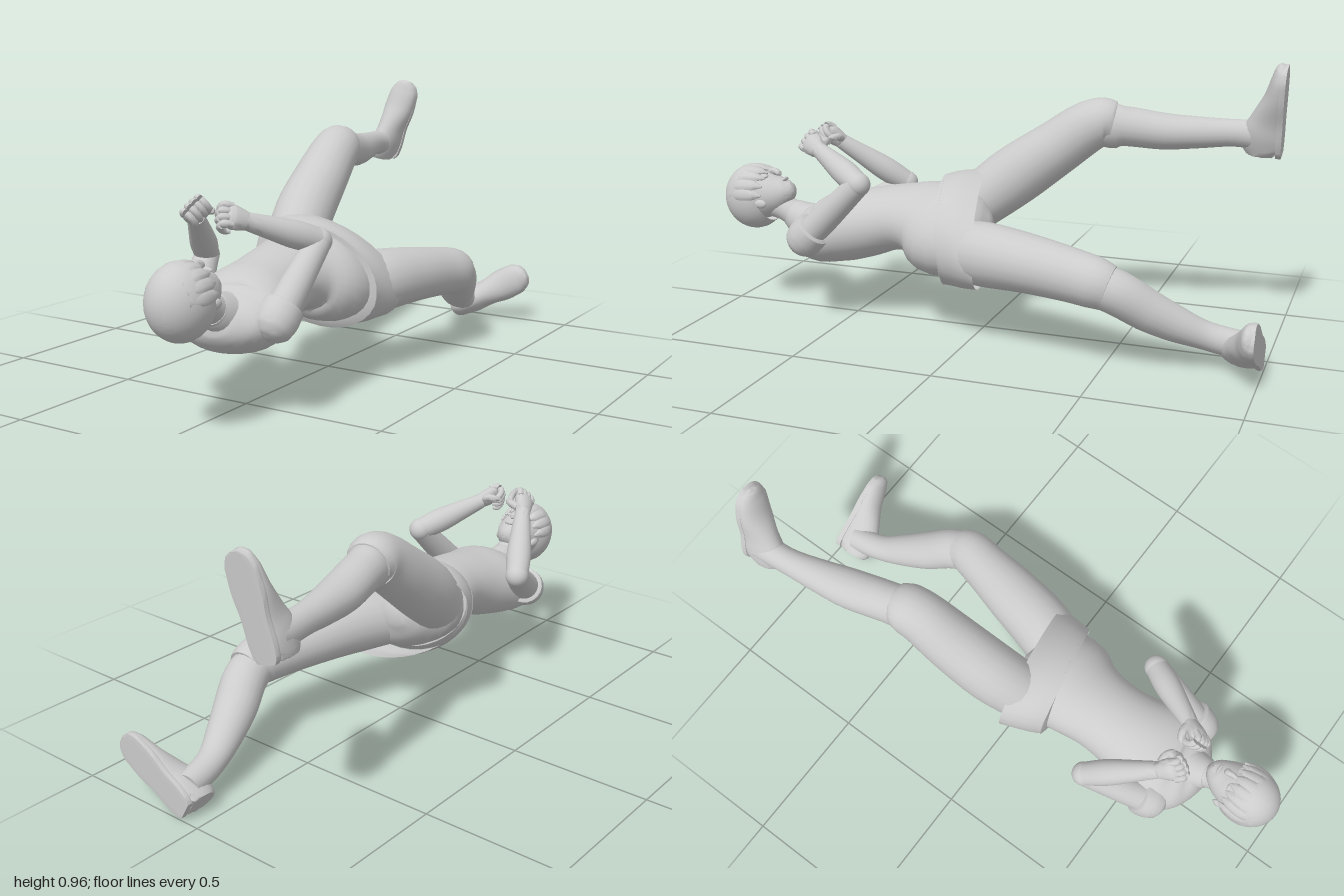
import * as THREE from 'three';
import { toCreasedNormals } from 'three/addons/utils/BufferGeometryUtils.js';

const grey = new THREE.MeshStandardMaterial({ color: 0xcccccc });
const thin = new THREE.MeshStandardMaterial({ color: 0xcccccc, side: THREE.DoubleSide });
const V = (x, y, z) => new THREE.Vector3(x, y, z);

// Smooth loft through sections [x, y, z, halfWidth, halfHeight, roll]
function loft(sections, { sides = 20, steps = 4, capped = true } = {}) {
  const path = new THREE.CatmullRomCurve3(sections.map(s => V(s[0], s[1], s[2])));
  const size = new THREE.CatmullRomCurve3(sections.map(s => V(s[3], s[4] ?? s[3], s[5] ?? 0)));
  const n = (sections.length - 1) * steps, pos = [], idx = [];
  for (let i = 0; i <= n; i++) {
    const p = path.getPoint(i / n), s = size.getPoint(i / n), t = path.getTangent(i / n);
    const r = V(0, 1, 0).cross(t).negate().normalize(), up = r.clone().cross(t);
    const a = r.clone().multiplyScalar(Math.cos(s.z)).addScaledVector(up, Math.sin(s.z));
    const b = up.clone().multiplyScalar(Math.cos(s.z)).addScaledVector(r, -Math.sin(s.z));
    for (let j = 0; j < sides; j++) {
      const w = j / sides * Math.PI * 2;
      const q = p.clone().addScaledVector(a, s.x * Math.cos(w)).addScaledVector(b, s.y * Math.sin(w));
      pos.push(q.x, q.y, q.z);
    }
  }
  const first = pos.length / 3;
  for (const e of [sections[0], sections.at(-1)]) pos.push(e[0], e[1], e[2]);
  for (let j = 0; j < sides; j++) {
    const k = (j + 1) % sides;
    for (let i = 0; i < n; i++) {
      const a = i * sides + j, b = i * sides + k;
      idx.push(a, a + sides, b, b, a + sides, b + sides);
    }
    if (capped) idx.push(first, j, k, first + 1, n * sides + k, n * sides + j);
  }
  const g = new THREE.BufferGeometry();
  g.setAttribute('position', new THREE.Float32BufferAttribute(pos, 3));
  g.setIndex(idx);
  return g;
}

function add(parent, name, geometry, material = grey) {
  const m = new THREE.Mesh(toCreasedNormals(geometry, 0.8), material);
  m.name = name;
  parent.add(m);
}

function ball(parent, name, [x, y, z], [a, b, c]) {
  const m = new THREE.Mesh(new THREE.SphereGeometry(1, 24, 16), grey);
  m.name = name;
  m.position.set(x, y, z);
  m.scale.set(a, b, c);
  parent.add(m);
}

// Group whose local z follows dir and whose local y leans towards up
function oriented(parent, name, origin, dir, up) {
  const z = V(...dir).normalize(), x = V(...up).cross(z).normalize(), y = z.clone().cross(x);
  const g = new THREE.Group();
  g.name = name;
  g.quaternion.setFromRotationMatrix(new THREE.Matrix4().makeBasis(x, y, z));
  g.position.set(...origin);
  parent.add(g);
  return g;
}

// Shoe: heel at z = 0, sole on y = 0
function addShoe(parent, name, heel, dir, len) {
  const g = oriented(parent, name, heel, dir, [0, 0, 1]);
  const shape = [[0, 0.034, 0.09], [0.05, 0.046, 0.13], [0.2, 0.052, 0.14], [0.38, 0.051, 0.115],
    [0.65, 0.061, 0.073], [0.85, 0.058, 0.054], [0.96, 0.041, 0.042], [1, 0.018, 0.03]];
  const upper = loft(shape.map(([t, w, h]) => [0, h * 0.35, t * len, w, h * 0.65]));
  const p = upper.attributes.position;
  for (let i = 0; i < p.count; i++) {
    p.setY(i, Math.max(0.002, p.getY(i)));
    p.setZ(i, Math.max(0, p.getZ(i)));
  }
  add(g, 'shoeUpper', upper);
  const sole = loft(shape.map(([t, w]) => [0, 0.01, t * len, w * 1.05, 0.03]));
  const q = sole.attributes.position;
  for (let i = 0; i < q.count; i++) q.setY(i, Math.min(0.02, Math.max(0, q.getY(i))));
  add(g, 'shoeSole', sole);
}

// Closed fist: local z continues the forearm, y is the back of the hand
function addFist(parent, name, wrist, dir, up, thumbSide) {
  const g = oriented(parent, name, wrist, dir, up);
  add(g, 'palm', loft([[0, 0, -0.015, 0.026, 0.024], [0, 0.002, 0.02, 0.037, 0.026],
    [0, 0.003, 0.05, 0.042, 0.026], [0, 0, 0.068, 0.036, 0.018]]));
  for (let i = 0; i < 4; i++) {
    const x = (i - 1.5) * 0.021, reach = 0.085 - Math.abs(i - 1.4) * 0.005;
    add(g, 'finger', loft([[x, 0.012, 0.05, 0.011], [x, 0.006, reach, 0.013],
      [x, -0.022, reach, 0.012], [x, -0.038, reach - 0.025, 0.011], [x, -0.03, 0.035, 0.007]], { sides: 10 }));
  }
  const s = thumbSide;
  add(g, 'thumb', loft([[s * 0.022, -0.008, 0.01, 0.015], [s * 0.036, -0.026, 0.025, 0.014],
    [s * 0.036, -0.042, 0.042, 0.012], [s * 0.032, -0.05, 0.056, 0.005]], { sides: 10 }));
}

function addArm(parent, side, shoulder, elbow, wrist, thumbSide) {
  const S = V(...shoulder), E = V(...elbow), W = V(...wrist);
  const at = (a, b, t, r) => [...a.clone().lerp(b, t).toArray(), r];
  const arm = new THREE.Group();
  arm.name = side + 'Arm';
  parent.add(arm);
  add(arm, 'upperArm', loft([at(S, E, 0, 0.055), at(S, E, 0.5, 0.049), at(S, E, 1, 0.041)]));
  ball(arm, 'elbow', elbow, [0.042, 0.042, 0.042]);
  add(arm, 'forearm', loft([at(E, W, 0, 0.04), at(E, W, 0.3, 0.045), at(E, W, 0.7, 0.036), at(E, W, 1, 0.028)]));
  // Rounded shoulder cap running into a short sleeve
  add(arm, 'sleeve', loft([at(S, E, -0.21, 0.004), at(S, E, -0.185, 0.035), at(S, E, -0.1, 0.062),
    at(S, E, 0.03, 0.07), at(S, E, 0.17, 0.067), at(S, E, 0.19, 0.05)]));
  addFist(arm, side + 'Hand', wrist, W.clone().sub(E).toArray(), [-thumbSide, 0.2, -0.3], thumbSide);
}

function addHead(parent) {
  const head = new THREE.Group();
  head.name = 'head';
  parent.add(head);
  add(head, 'face', loft([[0.05, 0.465, 0.728, 0.018, 0.018], [0.05, 0.455, 0.745, 0.042, 0.04],
    [0.05, 0.44, 0.785, 0.068, 0.068], [0.05, 0.432, 0.835, 0.083, 0.09], [0.05, 0.43, 0.89, 0.092, 0.103],
    [0.05, 0.43, 0.945, 0.08, 0.088], [0.05, 0.43, 0.985, 0.035, 0.04]], { sides: 28 }));
  // Hair shell tilted towards the back of the skull
  const hair = new THREE.SphereGeometry(1, 32, 20, 0, Math.PI * 2, 0, Math.PI * 0.62);
  hair.rotateX(Math.PI / 2 + 0.42);
  hair.scale(0.102, 0.121, 0.114);
  hair.translate(0.05, 0.42, 0.884);
  add(head, 'hair', hair, thin);
  // Overlapping locks swept down over the forehead and temples
  for (let i = 0; i < 9; i++) {
    const w = (i - 4) * 0.34, s = Math.sin(w), c = Math.cos(w);
    const ring = (k, z, a, b) => [0.05 + s * 0.098 * k, 0.42 + c * 0.114 * k, z, a, b, -w];
    add(head, 'hairLock', loft([ring(0.8, 0.945, 0.02, 0.008), ring(0.96, 0.895, 0.025, 0.011),
      ring(0.95, 0.85, 0.02, 0.01), ring(0.88, 0.815, 0.003, 0.004)], { sides: 10 }));
  }
  add(head, 'nose', loft([[0.05, 0.512, 0.838, 0.007, 0.006], [0.05, 0.518, 0.805, 0.01, 0.013],
    [0.05, 0.512, 0.785, 0.013, 0.011], [0.05, 0.505, 0.777, 0.006, 0.004]], { sides: 10 }));
  ball(head, 'mouth', [0.05, 0.492, 0.758], [0.02, 0.008, 0.006]);
  for (const s of [-1, 1]) {
    ball(head, 'eye', [0.05 + s * 0.034, 0.503, 0.82], [0.016, 0.007, 0.009]);
    ball(head, 'ear', [0.05 + s * 0.08, 0.41, 0.82], [0.011, 0.016, 0.024]);
  }
}

export function createModel() {
  const model = new THREE.Group();
  model.name = 'lyingFigure';
  addHead(model);
  add(model, 'neck', loft([[0.05, 0.40, 0.82, 0.05], [0.05, 0.382, 0.76, 0.046],
    [0.045, 0.345, 0.69, 0.056], [0.04, 0.32, 0.64, 0.075]]));
  add(model, 'collar', loft([[0.048, 0.368, 0.735, 0.05], [0.047, 0.362, 0.722, 0.056],
    [0.045, 0.345, 0.69, 0.068], [0.042, 0.332, 0.665, 0.08]]));

  // Torso from neck to seat, rolling with the hips
  add(model, 'torso', loft([
    [0.045, 0.33, 0.722, 0.06, 0.05, 0.05], [0.04, 0.315, 0.682, 0.14, 0.085, 0.08],
    [0.03, 0.308, 0.61, 0.19, 0.113, 0.08], [0.022, 0.33, 0.53, 0.177, 0.127, 0.05],
    [0.015, 0.35, 0.44, 0.155, 0.124, 0], [0.01, 0.378, 0.33, 0.143, 0.114, -0.12],
    [0.012, 0.385, 0.23, 0.165, 0.12, -0.28], [0.022, 0.365, 0.13, 0.21, 0.148, -0.4],
    [0.012, 0.365, 0.06, 0.21, 0.135, -0.42], [0, 0.37, 0, 0.12, 0.085, -0.42],
    [-0.005, 0.372, -0.03, 0.03, 0.03, -0.42]], { sides: 32 }));

  // Short flared skirt around the tilted hips
  add(model, 'skirt', loft([[0.029, 0.358, 0.13, 0.23, 0.17, -0.42], [0.017, 0.364, 0.07, 0.255, 0.17, -0.42],
    [0.004, 0.367, 0.0, 0.28, 0.154, -0.42]], { sides: 32, capped: false }), thin);
  add(model, 'skirtRim', loft([[0.031, 0.358, 0.138, 0.205, 0.145, -0.42], [0.029, 0.358, 0.13, 0.231, 0.171, -0.42],
    [0.025, 0.36, 0.11, 0.215, 0.15, -0.42]], { sides: 32, steps: 1 }));

  // Raised right leg
  add(model, 'rightTrouserLeg', loft([[-0.11, 0.43, 0.06, 0.1], [-0.143, 0.525, -0.06, 0.106, 0.108],
    [-0.165, 0.635, -0.21, 0.1, 0.098], [-0.178, 0.718, -0.325, 0.09, 0.09],
    [-0.188, 0.737, -0.375, 0.086, 0.084], [-0.195, 0.73, -0.405, 0.074, 0.075]]));
  add(model, 'rightLowerLeg', loft([[-0.18, 0.72, -0.35, 0.07], [-0.203, 0.722, -0.44, 0.07],
    [-0.238, 0.706, -0.58, 0.07, 0.064], [-0.265, 0.705, -0.7, 0.057, 0.055],
    [-0.287, 0.707, -0.82, 0.045, 0.048], [-0.294, 0.702, -0.93, 0.047, 0.054]]));
  addShoe(model, 'rightShoe', [-0.306, 0.637, -0.975], [0.082, 0.3, -0.015], 0.328);

  // Lowered left leg
  add(model, 'leftTrouserLeg', loft([[0.11, 0.31, 0.06, 0.1], [0.16, 0.318, -0.06, 0.112, 0.11],
    [0.198, 0.315, -0.22, 0.106, 0.1], [0.232, 0.302, -0.38, 0.09, 0.09],
    [0.25, 0.29, -0.47, 0.084, 0.085], [0.248, 0.275, -0.515, 0.074, 0.076]]));
  add(model, 'leftLowerLeg', loft([[0.25, 0.29, -0.46, 0.07], [0.235, 0.26, -0.54, 0.076, 0.074],
    [0.195, 0.2, -0.63, 0.074, 0.07], [0.157, 0.15, -0.72, 0.063, 0.06],
    [0.12, 0.107, -0.82, 0.05, 0.047], [0.1, 0.08, -0.94, 0.046, 0.048]]));
  addShoe(model, 'leftShoe', [0.055, 0.034, -0.998], [0.265, 0.152, 0], 0.32);

  // Arms bent with fists held up in front of the chin
  addArm(model, 'left', [0.19, 0.32, 0.605], [0.207, 0.535, 0.385], [0.08, 0.618, 0.6], -1);
  addArm(model, 'right', [-0.13, 0.308, 0.615], [-0.228, 0.45, 0.395], [-0.108, 0.615, 0.605], 1);
  return model;
}
